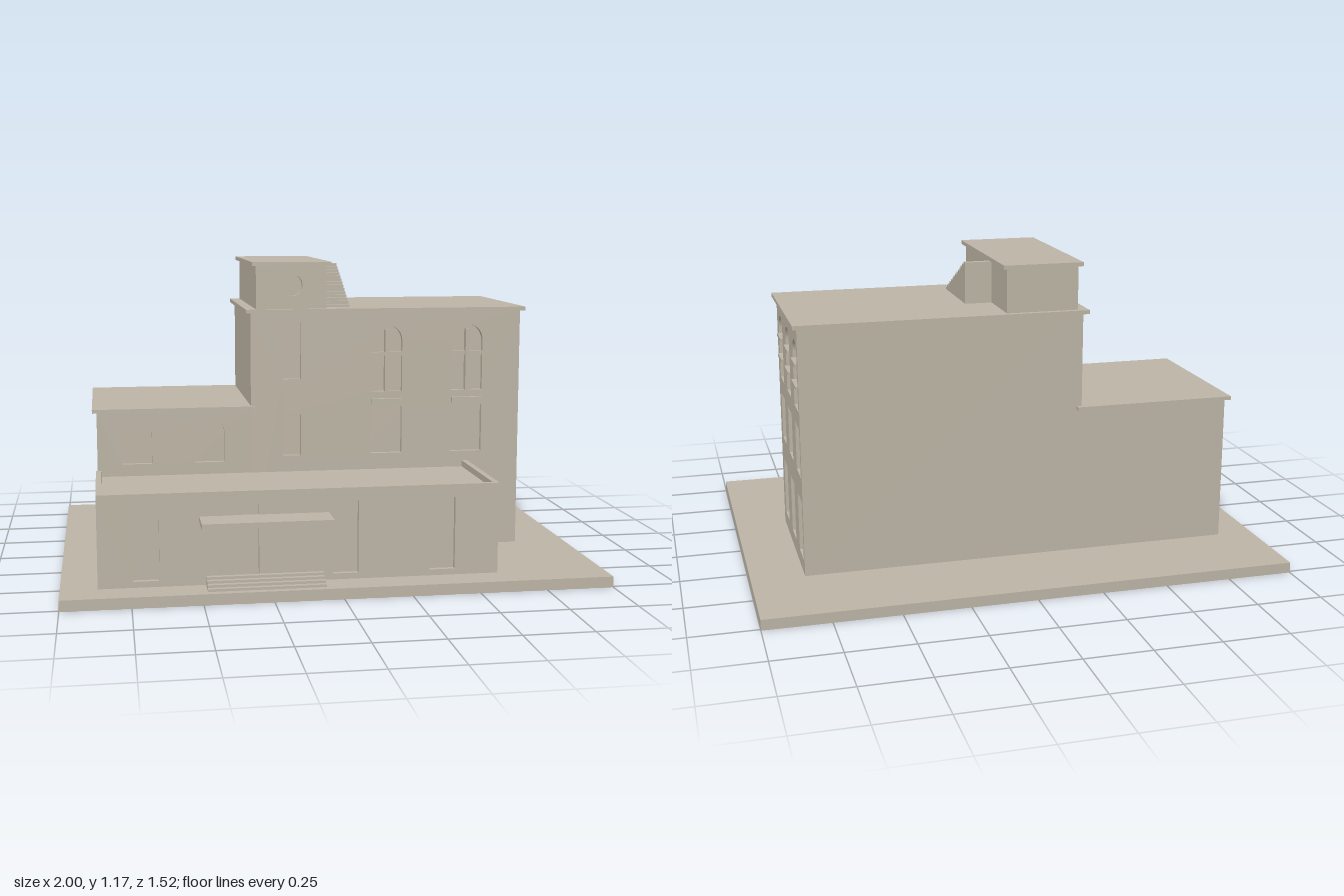
import * as THREE from 'three';

const stone = new THREE.MeshStandardMaterial({ color: 0xbcb4a5 });
stone.name = 'warm stone';
const DEPTH = 0.02; // depth of the window recesses

export function createModel() {
  const model = new THREE.Group();
  model.name = 'building';

  const add = (name, geometry) => {
    const mesh = new THREE.Mesh(geometry, stone);
    mesh.name = name;
    model.add(mesh);
    return mesh;
  };

  // Box given by its limits on each axis
  const box = (name, x0, x1, y0, y1, z0, z1) =>
    add(name, new THREE.BoxGeometry(x1 - x0, y1 - y0, z1 - z0)
      .translate((x0 + x1) / 2, (y0 + y1) / 2, (z0 + z1) / 2));

  const outline = (path, x0, x1, y0, y1) => {
    path.moveTo(x0, y0);
    path.lineTo(x1, y0);
    path.lineTo(x1, y1);
    path.lineTo(x0, y1);
    path.closePath();
    return path;
  };
  const rectHole = (x0, x1, y0, y1) => outline(new THREE.Path(), x0, x1, y0, y1);
  const archHole = (x0, x1, y0, y1) => {
    const r = (x1 - x0) / 2;
    const p = new THREE.Path();
    p.moveTo(x0, y0);
    p.lineTo(x1, y0);
    p.lineTo(x1, y1 - r);
    p.absarc((x0 + x1) / 2, y1 - r, r, 0, Math.PI, false);
    p.closePath();
    return p;
  };

  // Wall sheet with openings, its outer face at z = face
  const wall = (name, x0, x1, y0, y1, face, holes) => {
    const s = outline(new THREE.Shape(), x0, x1, y0, y1);
    s.holes = holes;
    const g = new THREE.ExtrudeGeometry(s, { depth: DEPTH, bevelEnabled: false, curveSegments: 16 });
    return add(name, g.translate(0, 0, face - DEPTH));
  };

  // Solid flight of steps rising towards -z
  const steps = (name, x0, x1, y0, y1, zFront, zBack, count) => {
    const s = new THREE.Shape();
    const rise = (y1 - y0) / count, run = (zFront - zBack) / count;
    s.moveTo(-zFront, y0);
    for (let i = 0; i < count; i++) {
      s.lineTo(-zFront + i * run, y0 + (i + 1) * rise);
      s.lineTo(-zFront + (i + 1) * run, y0 + (i + 1) * rise);
    }
    s.lineTo(-zBack, y0);
    s.closePath();
    const g = new THREE.ExtrudeGeometry(s, { depth: x1 - x0, bevelEnabled: false });
    add(name, g.rotateY(Math.PI / 2).translate(x0, 0, 0));
  };

  box('basePlate', -1, 1, 0, 0.04, -0.76, 0.76);

  // Main tower: core, front sheet and right-hand sheet
  box('towerCore', -0.27, 0.8 - DEPTH, 0.04, 0.98, -0.415, 0.2 - DEPTH);
  const bays = [0.264, 0.587];
  const towerHoles = [rectHole(-0.145, -0.075, 0.72, 0.94), rectHole(-0.145, -0.075, 0.42, 0.58)];
  for (const x of bays) {
    towerHoles.push(rectHole(x - 0.062, x + 0.062, 0.42, 0.605));
    towerHoles.push(archHole(x - 0.062, x + 0.062, 0.665, 0.925));
    box('windowMullion', x - 0.007, x + 0.007, 0.665, 0.908, 0.178, 0.206);
    box('windowTransom', x - 0.062, x + 0.062, 0.805, 0.819, 0.178, 0.198);
    box('windowLedge', x - 0.062, x + 0.06, 0.617, 0.638, 0.19, 0.217);
  }
  wall('towerFront', -0.27, 0.8, 0.04, 0.98, 0.2, towerHoles);

  // The side sheet is drawn along -z and turned to face +x
  const sideHoles = [];
  for (const z of [0.092, -0.12, -0.335]) {
    const a = -z - 0.056, b = -z + 0.056;
    sideHoles.push(rectHole(a, b, 0.095, 0.323), rectHole(a, b, 0.415, 0.6), archHole(a, b, 0.665, 0.922));
    for (const y of [0.749, 0.831])
      box('sideWindowBar', 0.778, 0.808, y, y + 0.012, z - 0.058, z + 0.058);
  }
  wall('towerSide', -0.2 + DEPTH, 0.415, 0.04, 0.98, 0.8, sideHoles).rotation.y = Math.PI / 2;
  box('towerRoof', -0.288, 0.817, 0.977, 0.992, -0.435, 0.216);

  // Lower left wing
  box('wingCore', -0.86, -0.27, 0.04, 0.605, -0.415, 0.2 - DEPTH);
  wall('wingFront', -0.86, -0.27, 0.04, 0.605, 0.2,
    [archHole(-0.766, -0.652, 0.403, 0.58), archHole(-0.486, -0.374, 0.403, 0.58)]);
  box('wingRoof', -0.877, -0.25, 0.605, 0.619, -0.435, 0.216);

  // Rooftop room with a round window
  box('roofRoomCore', -0.248, 0.026, 0.99, 1.157, -0.415, 0.2 - DEPTH);
  const porthole = new THREE.Path();
  porthole.absarc(-0.11, 1.083, 0.042, 0, Math.PI * 2, false);
  wall('roofRoomFront', -0.248, 0.026, 0.99, 1.157, 0.2, [porthole]);
  box('roofRoomRoof', -0.263, 0.042, 1.157, 1.172, -0.43, 0.212);
  steps('roofStairs', 0.026, 0.13, 0.99, 1.15, 0.12, -0.2, 14);

  // Ground-floor front block with its raised roof edge
  box('frontBlockCore', -0.867, 0.595, 0.04, 0.357, 0.195, 0.64 - DEPTH);
  wall('frontBlockWall', -0.867, 0.595, 0.04, 0.357, 0.64,
    [-0.695, -0.338, 0.025, 0.385].map((x) => rectHole(x - 0.047, x + 0.047, 0.062, 0.33)));
  box('parapetFront', -0.867, 0.595, 0.357, 0.381, 0.63, 0.65);
  box('parapetLeftEnd', -0.867, -0.845, 0.357, 0.381, 0.2, 0.63);
  box('parapetRightEnd', 0.573, 0.595, 0.357, 0.381, 0.2, 0.63);

  // Entrance
  box('entranceCanopy', -0.505, -0.037, 0.271, 0.291, 0.635, 0.764);
  steps('entranceSteps', -0.483, -0.06, 0.04, 0.077, 0.733, 0.655, 4);

  return model;
}
